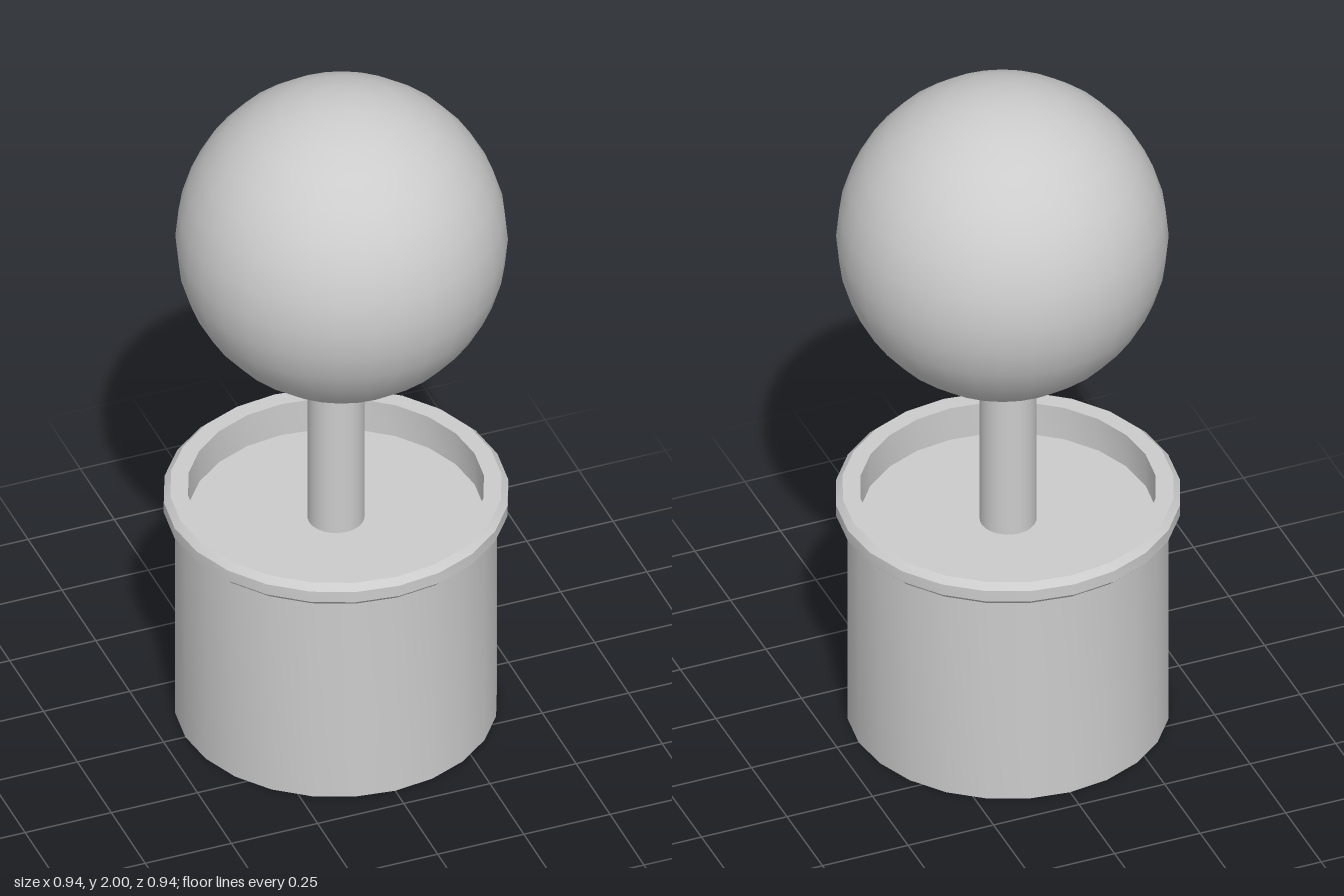
import * as THREE from 'three';
import { toCreasedNormals } from 'three/addons/utils/BufferGeometryUtils.js';

const material = new THREE.MeshStandardMaterial({ color: 0xcccccc });

export function createModel() {
  const group = new THREE.Group();
  const add = (name, geometry, x = 0, y = 0, z = 0) => {
    const mesh = new THREE.Mesh(geometry, material);
    mesh.name = name;
    mesh.position.set(x, y, z);
    group.add(mesh);
  };
  // Turned part from [radius, height] pairs, smooth around and sharp at the corners
  const turned = (profile) => toCreasedNormals(
    new THREE.LatheGeometry(profile.map(([r, y]) => new THREE.Vector2(r, y)), 24), Math.PI / 6);

  // Pot: base, wall, bevelled rim, inner wall down to the soil
  add('pot', turned([
    [0, 0], [0.437, 0], [0.437, 0.655], [0.452, 0.655], [0.468, 0.671],
    [0.468, 0.705], [0.45, 0.723], [0.402, 0.723], [0.402, 0.62],
  ]));

  // Soil recessed below the rim
  add('soil', new THREE.CircleGeometry(0.402, 24).rotateX(-Math.PI / 2), 0, 0.62, 0);

  // Trunk from the soil into the crown
  add('trunk', new THREE.CylinderGeometry(0.077, 0.077, 0.6, 24), 0, 0.9, 0);

  // Round clipped crown, slightly off centre
  add('crown', new THREE.SphereGeometry(0.449, 32, 16), 0.014, 1.551, 0.006);

  return group;
}
